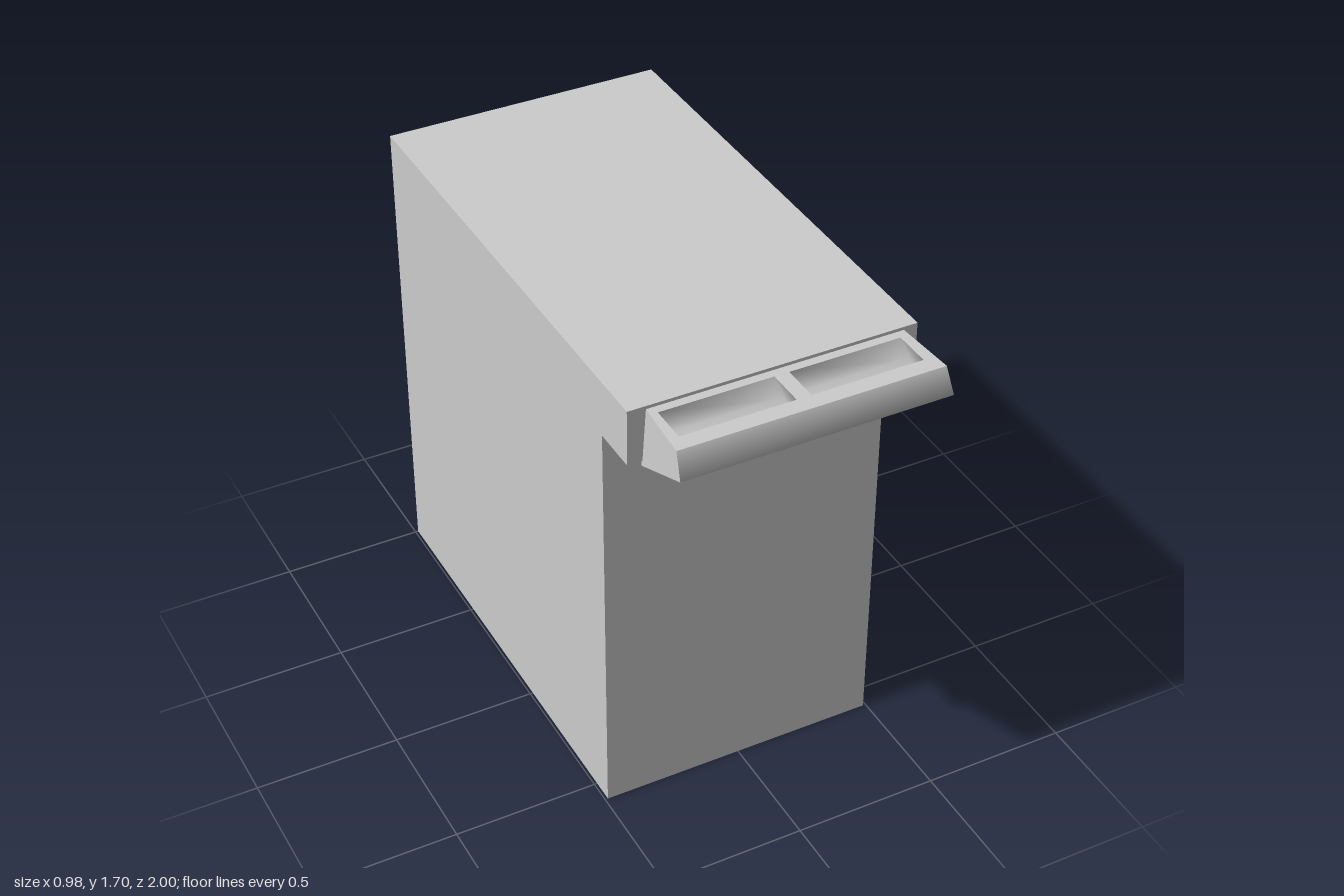
import * as THREE from 'three';

const grey = new THREE.MeshStandardMaterial({ color: 0xcccccc, side: THREE.DoubleSide });

function add(group, name, geometry) {
  const mesh = new THREE.Mesh(geometry, grey);
  mesh.name = name;
  group.add(mesh);
}

// Box given by its two extreme corners
function box([x0, y0, z0], [x1, y1, z1]) {
  return new THREE.BoxGeometry(x1 - x0, y1 - y0, z1 - z0)
    .translate((x0 + x1) / 2, (y0 + y1) / 2, (z0 + z1) / 2);
}

// Surface of quads; corners run counter-clockwise seen from the front
function quads(points, faces, smooth) {
  let geometry = new THREE.BufferGeometry();
  geometry.setAttribute('position', new THREE.Float32BufferAttribute(points.flat(), 3));
  geometry.setIndex(faces.flatMap(([a, b, c, d]) => [a, b, c, a, c, d]));
  if (!smooth) geometry = geometry.toNonIndexed();
  geometry.computeVertexNormals();
  return geometry;
}

export function createModel() {
  const model = new THREE.Group();

  // Tall main block and the ledge projecting at its top
  add(model, 'mainBody', box([-0.49, 0, -1], [0.49, 1.695, 0.58]));
  add(model, 'topLedge', box([-0.49, 1.5, 0.58], [0.49, 1.695, 0.745]));

  // Wedge-shaped tray: [half width, y, z] along its side profile
  const tray = new THREE.Group();
  tray.name = 'frontTray';
  model.add(tray);
  const centre = 0.007, rim = 1.684;
  const profile = [[0.448, 1.48, 0.74], [0.457, 1.6, 1.0], [0.45, rim, 0.962], [0.435, rim, 0.74]];
  const corners = [-1, 1].flatMap(s => profile.map(([w, y, z]) => [centre + s * w, y, z]));
  add(tray, 'trayFront', quads(corners, [[0, 4, 5, 1], [1, 5, 6, 2]], true));
  add(tray, 'trayEnds', quads(corners, [[0, 1, 2, 3], [4, 7, 6, 5], [0, 3, 7, 4]], false));

  // Rim with two openings, laid flat from the xy plane
  const shape = new THREE.Shape([2, 6, 7, 3].map(i => new THREE.Vector2(corners[i][0], -corners[i][2])));
  const pockets = [[-0.405, -0.02], [0.03, 0.412]];
  const z0 = 0.775, z1 = 0.905, floor = 1.6;
  for (const [x0, x1] of pockets) {
    shape.holes.push(new THREE.Path([[x0, -z0], [x1, -z0], [x1, -z1], [x0, -z1]]
      .map(p => new THREE.Vector2(...p))));

    // Recess with softly shaded walls and floor
    const ring = [[x0, z0], [x1, z0], [x1, z1], [x0, z1]];
    const points = [rim, floor].flatMap(y => ring.map(([x, z]) => [x, y, z]));
    const faces = [0, 1, 2, 3].map(i => [i, i + 4, (i + 1) % 4 + 4, (i + 1) % 4]);
    add(tray, 'trayPocket', quads(points, [...faces, [4, 7, 6, 5]], true));
  }
  add(tray, 'trayRim', new THREE.ShapeGeometry(shape).rotateX(-Math.PI / 2).translate(0, rim, 0));

  return model;
}
